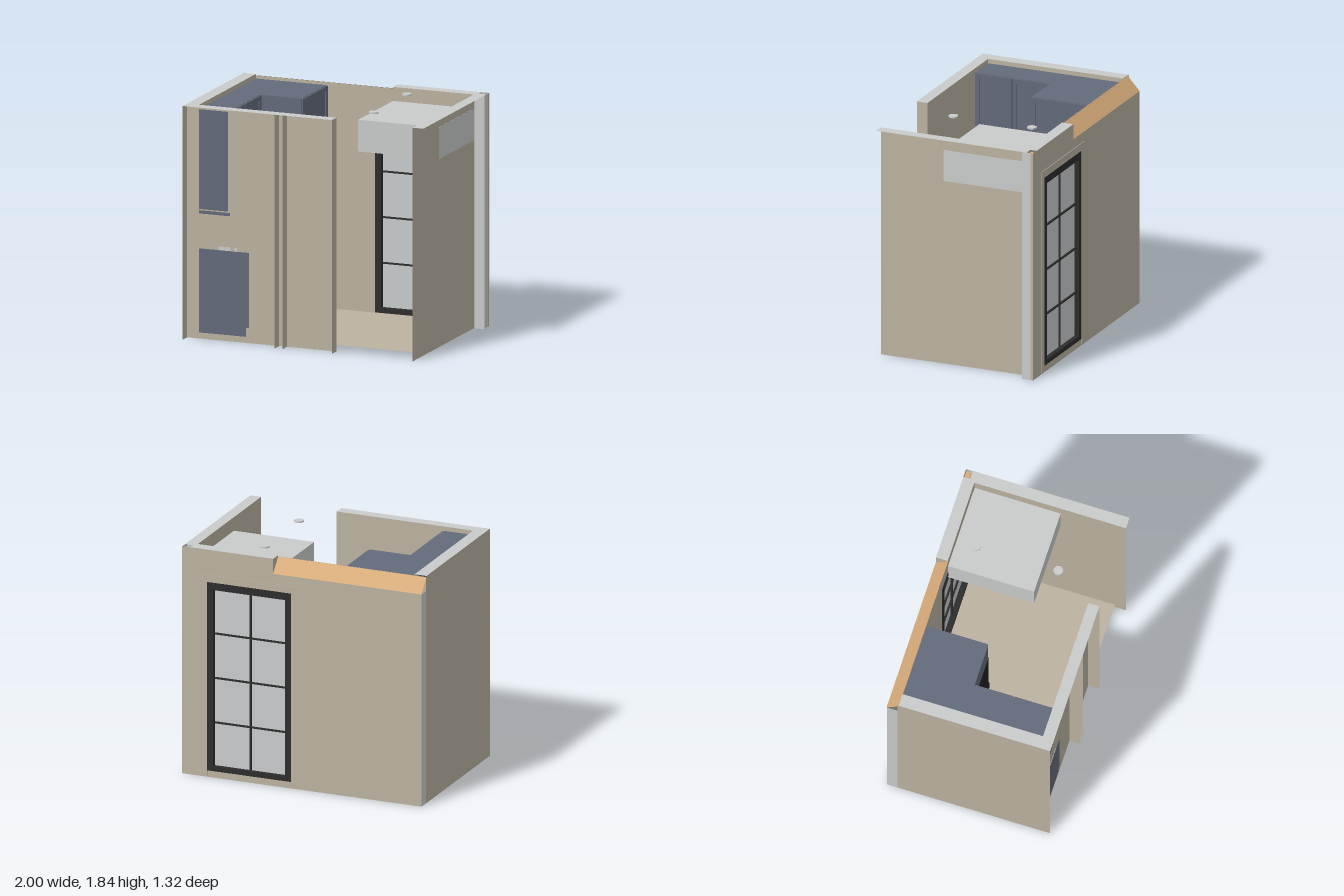
import * as THREE from 'three';

const mat = (name, color, open) => {
  const m = new THREE.MeshStandardMaterial({ color });
  m.name = name;
  if (open) m.side = THREE.DoubleSide;
  return m;
};

export function createModel() {
  const root = new THREE.Group();
  root.name = 'laundryRoom';
  const tan = mat('wall tan', 0xbbb2a0, true);
  const gray = mat('light gray', 0xc9cbcb, true);
  const blue = mat('cabinet blue', 0x636a7a);
  const wood = mat('warm wood', 0xd9ad7c, true);
  const copper = mat('handle copper', 0xb5794a);
  const black = mat('appliance black', 0x1f1f1f);
  const dark = mat('door frame black', 0x2d2d2d);
  const glass = mat('glass gray', 0xc8cbcc);

  const add = (name, geo, m) => {
    const mesh = new THREE.Mesh(geo, m);
    mesh.name = name;
    root.add(mesh);
    return mesh;
  };
  // Box given by its limits on each axis
  const box = (name, m, x0, x1, y0, y1, z0, z1) => {
    const b = add(name, new THREE.BoxGeometry(x1 - x0, y1 - y0, z1 - z0), m);
    b.position.set((x0 + x1) / 2, (y0 + y1) / 2, (z0 + z1) / 2);
    return b;
  };
  // Flat sheets facing x, y or z
  const sheetX = (name, m, x, z0, z1, y0, y1) => {
    const s = add(name, new THREE.PlaneGeometry(z1 - z0, y1 - y0).rotateY(Math.PI / 2), m);
    s.position.set(x, (y0 + y1) / 2, (z0 + z1) / 2);
  };
  const sheetY = (name, m, y, x0, x1, z0, z1) => {
    const s = add(name, new THREE.PlaneGeometry(x1 - x0, z1 - z0).rotateX(-Math.PI / 2), m);
    s.position.set((x0 + x1) / 2, y, (z0 + z1) / 2);
  };
  const sheetZ = (name, m, z, x0, x1, y0, y1) => {
    const s = add(name, new THREE.PlaneGeometry(x1 - x0, y1 - y0), m);
    s.position.set((x0 + x1) / 2, (y0 + y1) / 2, z);
  };
  const H = 1.84;

  // Side walls and front wall
  sheetX('rightSideOuterWall', tan, -1, -0.57, 0.66, 0, H);
  sheetX('rightSideInnerWall', tan, -0.9, -0.56, 0.57, 0, H);
  sheetX('leftSideWall', tan, 0.91, -0.56, 0.66, 0, H);
  sheetZ('frontWall', tan, 0.57, -1, 0.24, 0, H);
  for (const x of [-0.235, -0.17, 0.24]) sheetX('frontWallStud', tan, x, 0.57, 0.66, 0, H);
  sheetX('backCornerReturn', gray, -1, -0.655, -0.57, 0, 1.72);

  // Wall caps
  sheetY('rightSideCap', gray, H, -1, -0.9, -0.56, 0.66);
  sheetY('frontCap', gray, H, -0.9, 0.24, 0.57, 0.66);
  sheetY('leftSideCap', gray, H, 0.91, 1, -0.6, 0.66);
  sheetY('backCap', gray, H, 0.24, 0.93, -0.655, -0.56);
  sheetY('backSill', gray, 0.002, -1, 1, -0.655, -0.56);

  // Back wall skins with the doorway cut out
  const backSkin = (name, z, pts) => {
    const s = new THREE.Shape(pts.map(p => new THREE.Vector2(...p)));
    s.holes.push(new THREE.Path([[0.1, 0.06], [0.1, 1.57], [0.78, 1.57], [0.78, 0.06]]
      .map(p => new THREE.Vector2(...p))));
    add(name, new THREE.ShapeGeometry(s), tan).position.z = z;
  };
  backSkin('backInnerWall', -0.56, [[-1, 0], [0.92, 0], [0.92, H], [0.24, H], [0.24, 1.83], [-1, 1.83]]);
  backSkin('backOuterWall', -0.655, [[-1, 0], [1, 0], [1, H], [0.24, H], [0.24, 1.72], [-1, 1.72]]);

  // Sloping wood strip on top of the back wall
  const slope = add('backWoodStrip', new THREE.PlaneGeometry(1.24, Math.hypot(0.1, 0.11)), wood);
  slope.position.set(-0.38, 1.775, -0.608);
  slope.rotation.x = Math.PI / 2 - Math.atan2(0.11, 0.1) + Math.PI;
  slope.rotation.x = Math.atan2(0.1, 0.11);
  sheetX('woodStripEnd', tan, 0.24, -0.655, -0.56, 1.72, H);

  // Corner column
  sheetZ('cornerColumnFront', gray, -0.562, 0.91, 1, 0, H);
  sheetX('cornerColumnSide', gray, 0.998, -0.635, -0.562, 0, H);
  sheetX('cornerColumnEdge', tan, 0.998, -0.655, -0.635, 0, H);
  box('cornerBracket', wood, 0.93, 0.985, 1.8, 1.825, -0.65, -0.61);

  // Floor
  sheetY('floor', tan, 0.05, -0.9, 0.91, -0.56, 0.57);

  // Glazed back door: frame, panes and glazing bars
  box('doorGlass', glass, 0.14, 0.74, 0.09, 1.52, -0.62, -0.6);
  for (const [a, b] of [[0.09, 0.14], [0.74, 0.79]]) box('doorStile', dark, a, b, 0.053, 1.58, -0.658, -0.555);
  for (const [a, b] of [[0.053, 0.09], [1.52, 1.58]]) box('doorRail', dark, 0.14, 0.74, a, b, -0.658, -0.555);
  box('doorBar', dark, 0.434, 0.446, 0.09, 1.52, -0.635, -0.585);
  for (const y of [0.44, 0.8, 1.16]) box('doorBar', dark, 0.14, 0.74, y - 0.006, y + 0.006, -0.635, -0.585);
  // Casing around the door on the outside
  for (const [a, b] of [[0.04, 0.09], [0.79, 0.84]]) box('doorCasing', tan, a, b, 0.01, 1.64, -0.66, -0.653);
  box('doorCasing', tan, 0.09, 0.79, 1.58, 1.64, -0.66, -0.653);

  // Soffit and ceiling lights
  box('soffit', gray, 0.24, 0.912, 1.48, 1.73, -0.558, 0.135);
  for (const z of [-0.39, 0.27]) {
    const ring = add('downlight', new THREE.CylinderGeometry(0.037, 0.037, 0.012, 24), gray);
    ring.position.set(0.425, 1.834, z);
    const lens = add('downlightLens', new THREE.TorusGeometry(0.025, 0.004, 6, 24).rotateX(Math.PI / 2), gray);
    lens.position.set(0.425, 1.836, z);
  }

  // Shaker door facing +x, with an optional bar handle at height hy
  const shaker = (x, y0, y1, z0, z1, hy, hz) => {
    const w = 0.035, g = 0.003;
    y0 += g; y1 -= g; z0 += g; z1 -= g;
    box('cabinetDoorPanel', blue, x, x + 0.006, y0 + w, y1 - w, z0 + w, z1 - w);
    for (const [a, b] of [[y0, y0 + w], [y1 - w, y1]]) box('cabinetDoorRail', blue, x, x + 0.015, a, b, z0, z1);
    for (const [a, b] of [[z0, z0 + w], [z1 - w, z1]]) box('cabinetDoorStile', blue, x, x + 0.015, y0 + w, y1 - w, a, b);
    const f = x + 0.015;
    box('handleBar', copper, f + 0.015, f + 0.023, hy - 0.004, hy + 0.004, hz - 0.048, hz + 0.048);
    for (const s of [-0.044, 0.044])
      box('handlePost', copper, f, f + 0.016, hy - 0.004, hy + 0.004, hz + s - 0.004, hz + s + 0.004);
  };

  // Upper cabinets
  box('upperCabinet', blue, -0.902, -0.66, 1.02, 1.805, -0.06, 0.572);
  box('lightRail', blue, -0.902, -0.645, 0.985, 1.01, -0.06, 0.572);
  shaker(-0.66, 1.02, 1.805, -0.06, 0.255, 1.06, 0.205);
  shaker(-0.66, 1.02, 1.805, 0.255, 0.57, 1.06, 0.305);
  box('cabinetOverWasher', blue, -0.902, -0.315, 1.5, 1.805, -0.558, -0.06);
  shaker(-0.315, 1.5, 1.805, -0.558, -0.06, 1.53, -0.31);

  // Base cabinets, counter and sink
  box('baseCabinet', blue, -0.902, -0.485, 0.12, 0.71, -0.06, 0.572);
  box('toeKick', blue, -0.902, -0.51, 0.048, 0.12, -0.06, 0.572);
  shaker(-0.485, 0.12, 0.71, -0.06, 0.255, 0.65, 0.205);
  shaker(-0.485, 0.12, 0.71, 0.255, 0.57, 0.65, 0.305);
  box('counter', tan, -0.9, -0.455, 0.71, 0.738, -0.06, 0.569);
  box('sink', gray, -0.82, -0.55, 0.735, 0.742, 0.1, 0.4);
  box('counterEndPlate', gray, -0.56, -0.46, 0.735, 0.742, -0.06, 0.0);
  for (const [a, b] of [[-0.74, -0.64], [-0.61, -0.585]]) box('counterPatch', gray, a, b, 0.71, 0.74, 0.567, 0.572);

  // Stacked washer and dryer
  box('washer', black, -0.902, -0.285, 0.048, 0.76, -0.558, -0.065);
  box('controlPanel', black, -0.9, -0.27, 0.76, 0.87, -0.558, -0.062);
  box('dryer', black, -0.902, -0.285, 0.87, 1.47, -0.558, -0.065);
  for (const y of [0.41, 1.17]) {
    const door = add('drumDoor', new THREE.CylinderGeometry(0.2, 0.215, 0.018, 40).rotateZ(-Math.PI / 2), black);
    door.position.set(-0.277, y, -0.31);
    const ring = add('drumDoorRing', new THREE.TorusGeometry(0.17, 0.008, 8, 40).rotateY(Math.PI / 2), black);
    ring.position.set(-0.27, y, -0.31);
  }
  return root;
}
